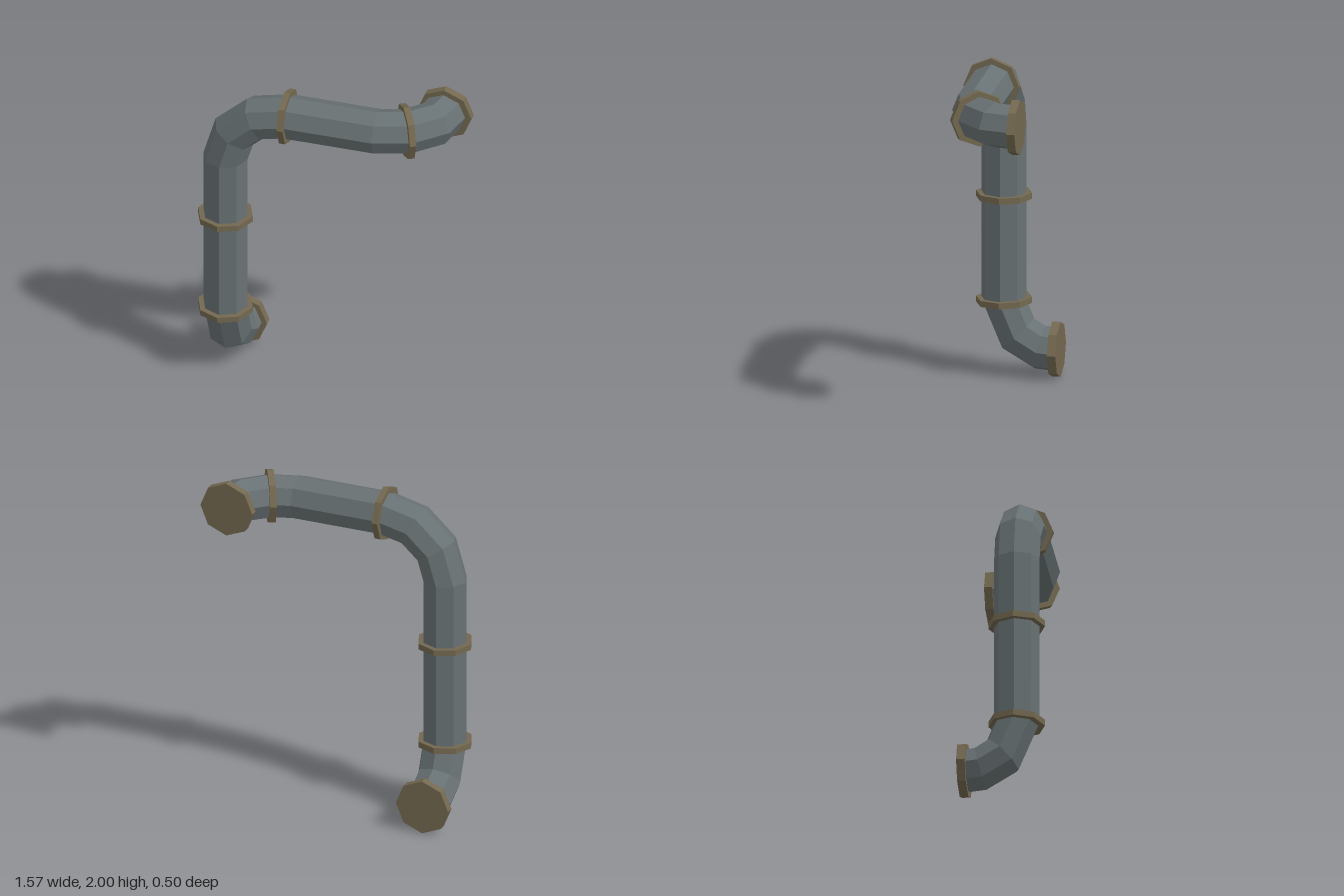
import * as THREE from 'three';

const SIDES = 8, PIPE_R = 0.133, RING_R = 0.165;
const X = -0.62, Y = 1.838, Z = 0.083; // main axes of the pipe runs

// Stations along the pipe: position, direction, optional ring name and thickness
const stations = [
  { p: [X, 0.168, -0.225], t: [0, 0, 1], ring: 'lowerEndFlange', h: 0.05 },
  { p: [X, 0.175, -0.13], t: [0, 0.24, 0.97] },
  { p: [X, 0.2525, 0], t: [0, 0.7, 0.7] },
  { p: [X, 0.452, Z], t: [0, 1, 0.03], ring: 'lowerElbowRing', h: 0.036 },
  { p: [X, 1.082, Z], t: [0, 1, 0], ring: 'middleRing', h: 0.036 },
  { p: [X, 1.49, Z], t: [0, 1, 0] },
  { p: [-0.567, 1.67, Z], t: [0.14, 0.225, 0] },
  { p: [-0.43, 1.795, Z], t: [0.23, 0.12, 0] },
  { p: [-0.245, Y, Z], t: [1, 0.015, 0], ring: 'upperElbowRing', h: 0.036 },
  { p: [0.3, Y, 0.08], t: [1, 0, 0] },
  { p: [0.46, Y, 0.03], t: [0.87, 0, -0.5], ring: 'sideElbowRing', h: 0.038 },
  { p: [0.59, Y, -0.093], t: [0.54, 0, -0.84] },
  { p: [0.617, Y, -0.224], t: [0.02, 0, -1], ring: 'upperEndFlange', h: 0.048 },
];

// Carry one frame along the path so the octagon stays aligned through each bend
function makeFrames() {
  const u = new THREE.Vector3(1, 0, 0);
  let last = null;
  return stations.map((s) => {
    const p = new THREE.Vector3(...s.p);
    const t = new THREE.Vector3(...s.t).normalize();
    if (last) u.applyQuaternion(new THREE.Quaternion().setFromUnitVectors(last, t));
    last = t;
    return { p, t, u: u.clone(), v: t.clone().cross(u), ring: s.ring, h: s.h };
  });
}

// Sweep the octagon through all stations
function pipeGeometry(frames) {
  const pos = [], index = [];
  frames.forEach((f, i) => {
    for (let k = 0; k < SIDES; k++) {
      const a = (k / SIDES) * Math.PI * 2;
      const q = f.p.clone()
        .addScaledVector(f.u, Math.cos(a) * PIPE_R)
        .addScaledVector(f.v, Math.sin(a) * PIPE_R);
      pos.push(q.x, q.y, q.z);
      if (i === 0) continue;
      const n = (k + 1) % SIDES, lo = (i - 1) * SIDES, hi = i * SIDES;
      index.push(lo + k, lo + n, hi + k, lo + n, hi + n, hi + k);
    }
  });
  const g = new THREE.BufferGeometry();
  g.setAttribute('position', new THREE.Float32BufferAttribute(pos, 3));
  g.setIndex(index);
  g.computeVertexNormals();
  return g;
}

export function createModel() {
  const group = new THREE.Group();
  group.name = 'bentPipe';
  const steel = new THREE.MeshStandardMaterial({ color: 0x687173, flatShading: true });
  const brass = new THREE.MeshStandardMaterial({ color: 0x736850, flatShading: true });
  const frames = makeFrames();

  const pipe = new THREE.Mesh(pipeGeometry(frames), steel);
  pipe.name = 'pipe';
  group.add(pipe);

  // Joint rings and closed end flanges
  for (const f of frames) {
    if (!f.ring) continue;
    const ring = new THREE.Mesh(new THREE.CylinderGeometry(RING_R, RING_R, f.h, SIDES), brass);
    ring.name = f.ring;
    const basis = new THREE.Matrix4().makeBasis(f.u, f.t, f.u.clone().cross(f.t));
    ring.quaternion.setFromRotationMatrix(basis);
    ring.position.copy(f.p);
    group.add(ring);
  }
  return group;
}
